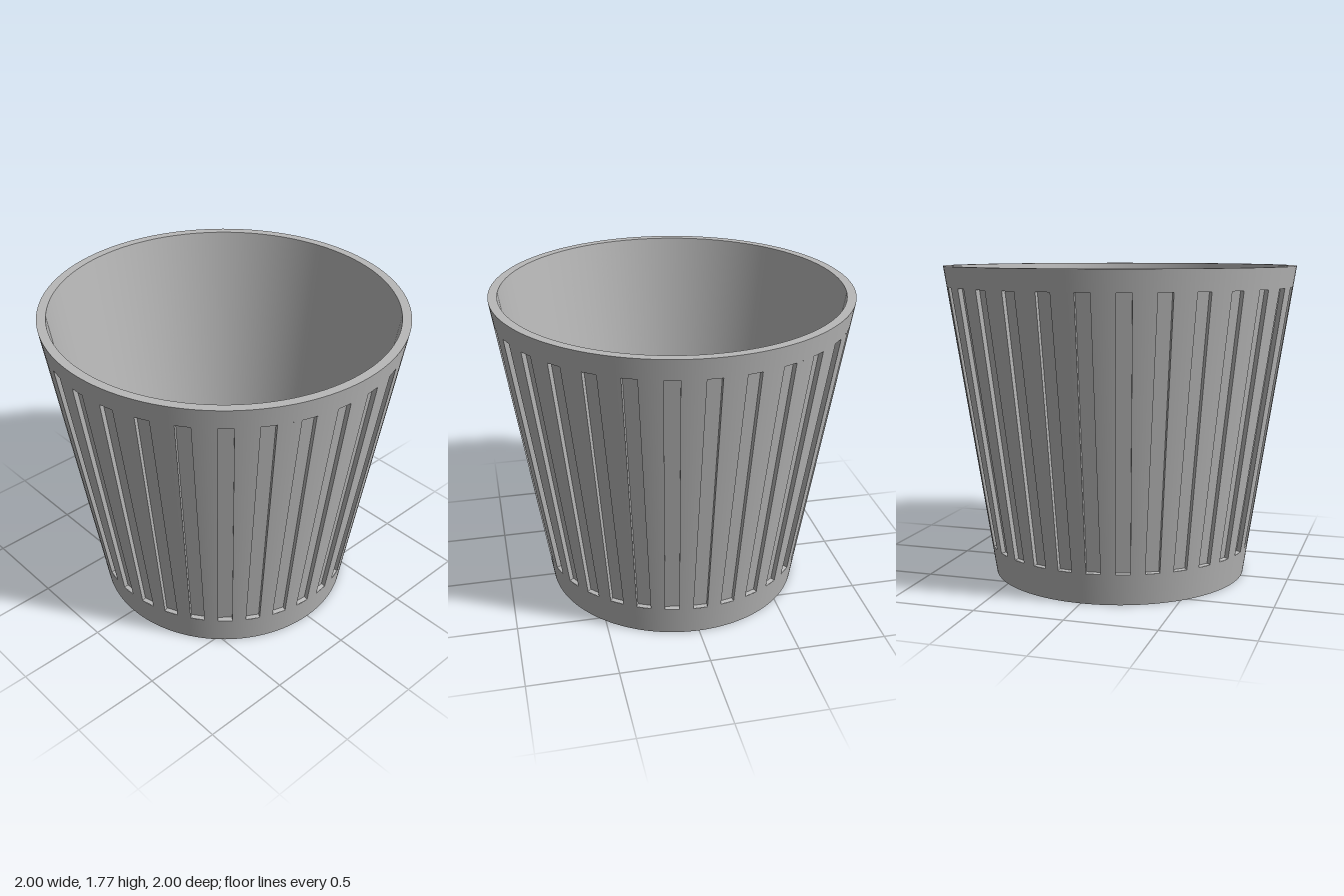
import * as THREE from 'three';

const HEIGHT = 1.775, R_BOTTOM = 0.73, R_TOP = 1;
const SLOPE = (R_TOP - R_BOTTOM) / HEIGHT;
const TILT = Math.atan(SLOPE);
const FLUTES = 30, HALF_W = 0.04, DEPTH = 0.026, Y0 = 0.175, Y1 = 1.66;
const FLOOR = 0.05;
const radiusAt = (y) => R_BOTTOM + SLOPE * y;

export function createModel() {
  const pot = new THREE.Group();
  pot.name = 'flutedPot';
  const grey = new THREE.MeshStandardMaterial({ color: 0xb8b8b8 });
  grey.name = 'grey';

  const add = (name, geometry) => {
    const mesh = new THREE.Mesh(geometry, grey);
    mesh.name = name;
    pot.add(mesh);
  };
  // Surface of revolution between two (radius, height) points
  const ring = (name, r0, y0, r1, y1) => add(name, new THREE.LatheGeometry(
    [new THREE.Vector2(r0, y0), new THREE.Vector2(r1, y1)], 180));

  // Plain surfaces, following the section counterclockwise
  ring('lowerBand', R_BOTTOM, 0, radiusAt(Y0), Y0);
  ring('upperBand', radiusAt(Y1), Y1, R_TOP, HEIGHT);
  ring('rim', R_TOP, HEIGHT, 0.95, HEIGHT);
  ring('innerWall', 0.95, HEIGHT, 0.685, FLOOR);
  ring('innerFloor', 0.685, FLOOR, 0.1, FLOOR);
  ring('drainHole', 0.1, FLOOR, 0.1, 0);
  ring('underside', 0.1, 0, R_BOTTOM, 0);

  const step = (Math.PI * 2) / FLUTES;
  const up = new THREE.Vector3(0, 1, 0);
  const flat = [], ribs = [], ribNormals = [];
  const quad = (list, a, b, c, d) => {
    for (const p of [a, b, c, a, c, d]) list.push(p.x, p.y, p.z);
  };
  const polar = (angle, y) => new THREE.Vector3(
    radiusAt(y) * Math.sin(angle), y, radiusAt(y) * Math.cos(angle));
  const normalAt = (a) => new THREE.Vector3(
    Math.cos(TILT) * Math.sin(a), -Math.sin(TILT), Math.cos(TILT) * Math.cos(a));
  const edgeAngle = (y) => Math.asin(HALF_W / radiusAt(y));

  for (let i = 0; i < FLUTES; i++) {
    const centre = (i + 0.5) * step;
    // Corners of one straight-sided flute cut square into the sloping wall
    const outer = (side, y) => polar(centre + side * edgeAngle(y), y);
    const inner = (side, y) => new THREE.Vector3(
      side * HALF_W,
      y + DEPTH * Math.sin(TILT),
      radiusAt(y) - DEPTH * Math.cos(TILT)
    ).applyAxisAngle(up, centre);
    const [ol0, or0, ol1, or1] = [outer(-1, Y0), outer(1, Y0), outer(-1, Y1), outer(1, Y1)];
    const [il0, ir0, il1, ir1] = [inner(-1, Y0), inner(1, Y0), inner(-1, Y1), inner(1, Y1)];
    quad(flat, il0, ir0, ir1, il1); // back
    quad(flat, ol0, il0, il1, ol1); // left side
    quad(flat, ir0, or0, or1, ir1); // right side
    quad(flat, ol0, or0, ir0, il0); // bottom ledge
    quad(flat, il1, ir1, or1, ol1); // top ledge

    // Curved rib up to the next flute
    const parts = 4;
    const at = (k, y) => centre + THREE.MathUtils.lerp(
      edgeAngle(y), step - edgeAngle(y), k / parts);
    for (let k = 0; k < parts; k++) {
      const [a, b, c, d] = [at(k, Y0), at(k + 1, Y0), at(k + 1, Y1), at(k, Y1)];
      quad(ribs, polar(a, Y0), polar(b, Y0), polar(c, Y1), polar(d, Y1));
      quad(ribNormals, normalAt(a), normalAt(b), normalAt(c), normalAt(d));
    }
  }

  const fluteGeometry = new THREE.BufferGeometry();
  fluteGeometry.setAttribute('position', new THREE.Float32BufferAttribute(flat, 3));
  fluteGeometry.computeVertexNormals();
  add('flutes', fluteGeometry);

  const ribGeometry = new THREE.BufferGeometry();
  ribGeometry.setAttribute('position', new THREE.Float32BufferAttribute(ribs, 3));
  ribGeometry.setAttribute('normal', new THREE.Float32BufferAttribute(ribNormals, 3));
  add('ribs', ribGeometry);

  return pot;
}
